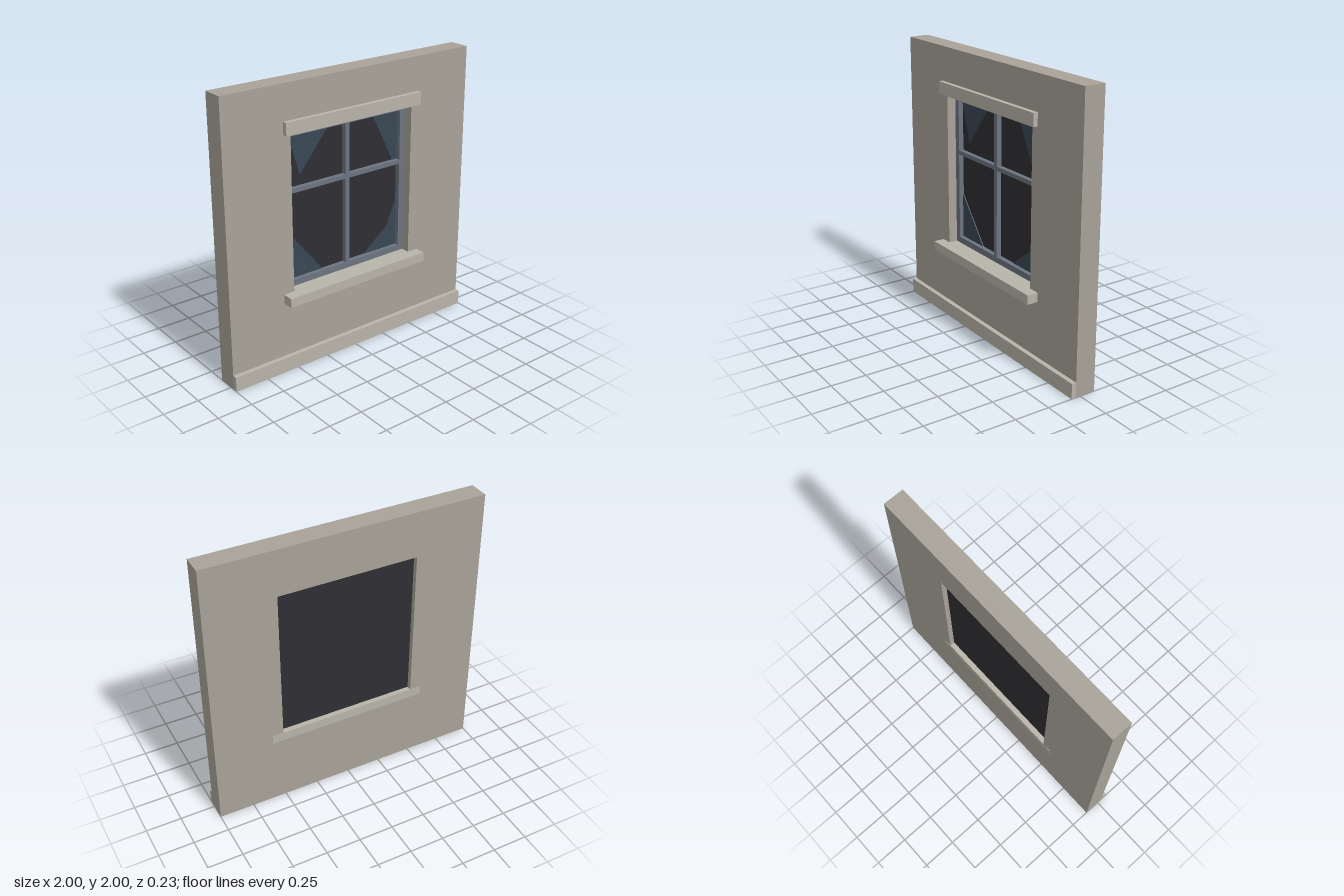
import * as THREE from 'three';

const BACK = -0.114, FRONT = 0.035;
const mat = (color) => new THREE.MeshStandardMaterial({ color });

// Rectangle outline, usable as a shape or as a hole
function rect(x0, y0, x1, y1, Type = THREE.Shape) {
  return new Type([[x0, y0], [x1, y0], [x1, y1], [x0, y1]].map(([x, y]) => new THREE.Vector2(x, y)));
}

export function createModel() {
  const model = new THREE.Group();
  const wallMat = mat(0xa8a298), trimMat = mat(0xb8b4a9), frameMat = mat(0x6c7480);
  const darkMat = mat(0x2f2e33), glassMat = mat(0x384754);

  const add = (name, geometry, material) => {
    const mesh = new THREE.Mesh(geometry, material);
    mesh.name = name;
    model.add(mesh);
  };
  const slab = (name, shape, z0, z1, material) => {
    const geo = new THREE.ExtrudeGeometry(shape, { depth: z1 - z0, bevelEnabled: false });
    add(name, geo.translate(0, 0, z0), material);
  };
  const box = (name, halfWidth, y0, y1, z0, z1, material) => {
    const geo = new THREE.BoxGeometry(halfWidth * 2, y1 - y0, z1 - z0);
    add(name, geo.translate(0, (y0 + y1) / 2, (z0 + z1) / 2), material);
  };

  // Wall with the window opening
  const wall = rect(-1, 0, 1, 2);
  wall.holes.push(rect(-0.5, 0.567, 0.5, 1.668, THREE.Path));
  slab('wall', wall, BACK, FRONT, wallMat);

  // Trim: plinth, lintel and a sill that runs right through the wall
  box('plinth', 1, 0, 0.107, FRONT, 0.068, trimMat);
  box('lintel', 0.554, 1.668, 1.757, FRONT, 0.068, trimMat);
  box('sill', 0.581, 0.502, 0.568, BACK - 0.001, 0.114, trimMat);

  // Recessed frame with four panes
  const frame = rect(-0.5, 0.567, 0.5, 1.668);
  for (const [x0, x1] of [[-0.457, -0.017], [0.017, 0.457]]) {
    for (const [y0, y1] of [[0.612, 1.235], [1.265, 1.623]]) {
      frame.holes.push(rect(x0, y0, x1, y1, THREE.Path));
    }
  }
  slab('windowFrame', frame, -0.072, -0.03, frameMat);

  // Dark backing behind the broken panes
  box('darkBacking', 0.5, 0.567, 1.668, -0.078, -0.066, darkMat);

  // Glass shards left in the corners
  const shards = {
    upperRightShard: [[-0.457, 1.623], [-0.37, 1.337], [-0.135, 1.623]],
    upperLeftShard: [[0.235, 1.623], [0.417, 1.265], [0.457, 1.265], [0.457, 1.623]],
    lowerRightShard: [[-0.457, 0.612], [-0.198, 0.612], [-0.457, 0.936]],
    lowerLeftShard: [[0.17, 0.612], [0.457, 0.612], [0.457, 0.957], [0.37, 0.765]],
  };
  for (const [name, points] of Object.entries(shards)) {
    slab(name, new THREE.Shape(points.map(([x, y]) => new THREE.Vector2(x, y))), -0.066, -0.06, glassMat);
  }

  return model;
}
